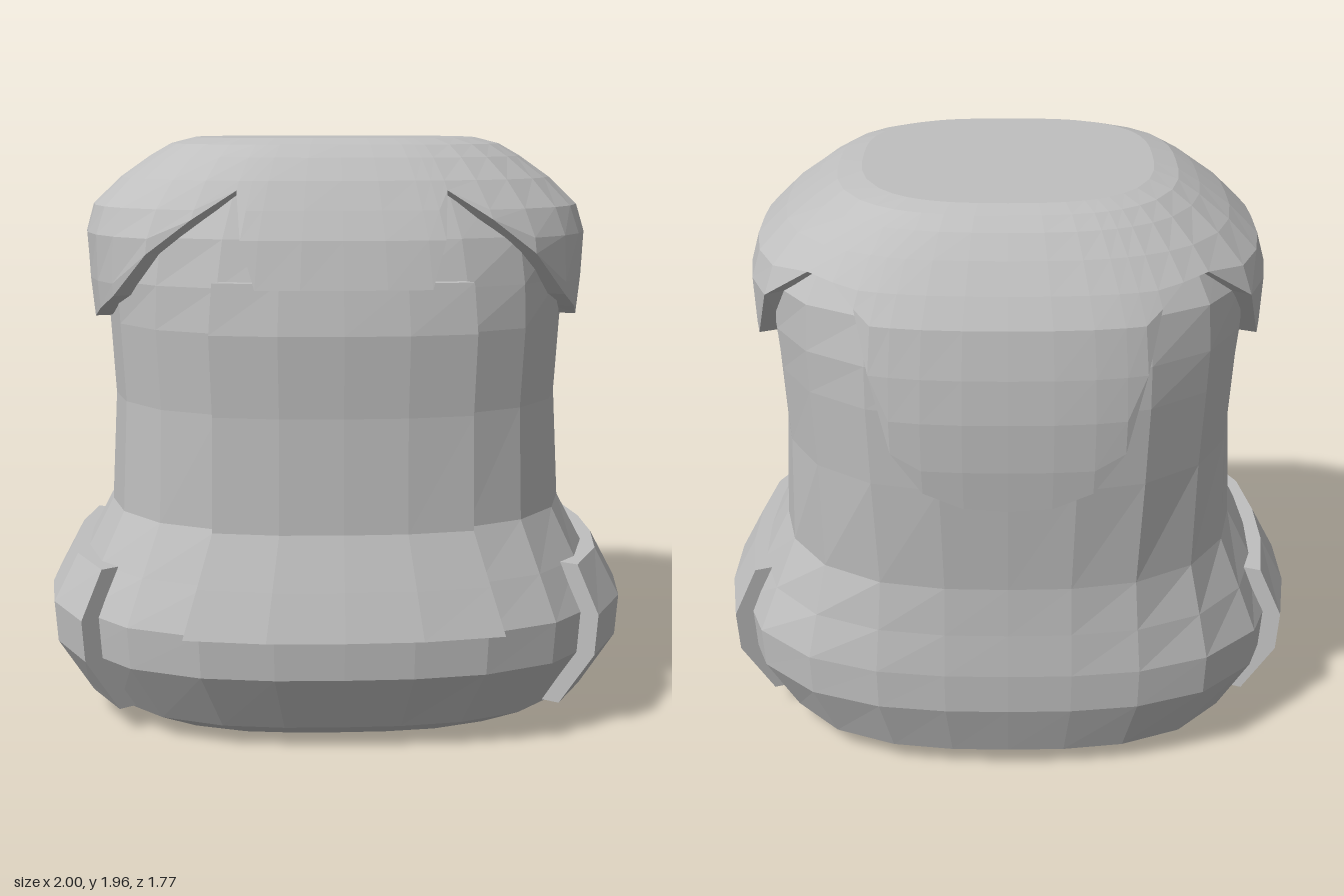
import * as THREE from 'three';

const grey = new THREE.MeshStandardMaterial({ color: 0xbfbfbf });
grey.name = 'plainGrey';

const rad = THREE.MathUtils.degToRad;

// Cross-sections: [height, half width, front depth, back depth]
const BODY = [
  [0, 0.70, 0.57, 0.59], [0.07, 0.82, 0.71, 0.71], [0.27, 0.94, 0.83, 0.78],
  [0.41, 0.95, 0.84, 0.785], [0.56, 0.87, 0.79, 0.775], [0.73, 0.78, 0.73, 0.77],
  [1.10, 0.76, 0.725, 0.81], [1.36, 0.775, 0.74, 0.825], [1.50, 0.79, 0.72, 0.82],
  [1.65, 0.80, 0.68, 0.79], [1.80, 0.72, 0.61, 0.71],
];
const COVER = [
  [1.06, 0.80, 0.76, 0.865], [1.20, 0.81, 0.77, 0.88], [1.36, 0.825, 0.775, 0.885],
  [1.50, 0.84, 0.77, 0.875], [1.65, 0.85, 0.735, 0.85], [1.74, 0.825, 0.69, 0.80],
  [1.83, 0.73, 0.64, 0.74], [1.90, 0.63, 0.585, 0.685], [1.94, 0.56, 0.54, 0.64],
  [1.96, 0.48, 0.48, 0.58],
];
// Lower edge of the cover: [angle from the front, height]
const EDGE = [
  [0, 1.5], [10, 1.5], [20, 1.5], [24, 1.65], [27.5, 1.8], [36, 1.71], [45, 1.6],
  [55, 1.46], [63, 1.41], [72, 1.37], [81, 1.36], [90, 1.36], [102, 1.40], [114, 1.46],
  [125, 1.65], [136, 1.76], [143, 1.75], [149, 1.69], [153, 1.5], [157, 1.25],
  [163, 1.12], [171, 1.07], [180, 1.06],
];

function section(profile, y) {
  let i = 0;
  while (i < profile.length - 2 && profile[i + 1][0] < y) i++;
  const [p, q] = [profile[i], profile[i + 1]];
  const t = THREE.MathUtils.clamp((y - p[0]) / (q[0] - p[0]), 0, 1);
  return p.map((v, k) => v + (q[k] - v) * t);
}

// Point on a rounded-square section; angle 0 is the front, 90 the left
function surfacePoint(profile, angle, y, offset = 0, scale = 1) {
  const [, a, front, back] = section(profile, y);
  const s = Math.sin(rad(angle)), c = Math.cos(rad(angle)), n = 2.8;
  const r = (Math.abs(s / a) ** n + Math.abs(c / (c > 0 ? front : back)) ** n) ** (-1 / n);
  const d = (r + offset) * scale;
  return new THREE.Vector3(d * s, y, d * c);
}

// Faceted sheet from a grid of points; collapsed triangles are dropped
function sheet(name, cols, rows, pointAt) {
  const pos = [];
  const tri = (a, b, c) => {
    const area = b.clone().sub(a).cross(c.clone().sub(a)).length();
    if (area > 1e-7) pos.push(...a.toArray(), ...b.toArray(), ...c.toArray());
  };
  for (let i = 0; i < cols - 1; i++) {
    for (let j = 0; j < rows - 1; j++) {
      const a = pointAt(i, j), b = pointAt(i + 1, j);
      const c = pointAt(i + 1, j + 1), d = pointAt(i, j + 1);
      tri(a, b, c);
      tri(a, c, d);
    }
  }
  const geo = new THREE.BufferGeometry();
  geo.setAttribute('position', new THREE.Float32BufferAttribute(pos, 3));
  geo.computeVertexNormals();
  const mesh = new THREE.Mesh(geo, grey);
  mesh.name = name;
  return mesh;
}

// Raised plate that follows the body, with walls all round
function plate(name, ys, range, columns, thickness) {
  const rows = [ys[0], ...ys, ys[ys.length - 1]];
  return sheet(name, columns + 3, rows.length, (i, j) => {
    const y = rows[j], [from, to] = range(y);
    const t = THREE.MathUtils.clamp((i - 1) / columns, 0, 1);
    const rim = i === 0 || i === columns + 2 || j === 0 || j === rows.length - 1;
    return surfacePoint(BODY, from + (to - from) * t, y, rim ? -0.03 : thickness);
  });
}

export function createModel() {
  const model = new THREE.Group();
  model.name = 'coveredContainer';

  // Waisted body, closed at the bottom and top
  const bodyRows = [[0, 0], ...BODY.map((p) => [p[0], 1]), [1.8, 0]];
  model.add(sheet('body', 25, bodyRows.length, (i, j) =>
    surfacePoint(BODY, i * 15, bodyRows[j][0], 0, bodyRows[j][1])));

  // Scalloped cover: inner lip, outer skin, flat top
  const edge = [...EDGE.slice(1).reverse().map(([a, y]) => [-a, y]), ...EDGE];
  const heights = COVER.map((p) => p[0]);
  model.add(sheet('cover', edge.length, heights.length + 2, (i, j) => {
    const [angle, low] = edge[i];
    if (j === 0) return surfacePoint(COVER, angle, low, -0.09);
    if (j > heights.length) return surfacePoint(COVER, angle, 1.96, 0, 0);
    return surfacePoint(COVER, angle, Math.max(low, heights[j - 1]));
  }));

  // Front panel, flared at the foot
  const panelHalf = (y) => (y < 0.73 ? 29.5 + (0.73 - y) * 6 : 29.5);
  model.add(plate('frontPanel', [0.41, 0.56, 0.73, 1.1, 1.36, 1.52],
    (y) => [-panelHalf(y), panelHalf(y)], 4, 0.05));

  // Side panels around the base
  const sideHeights = [0.08, 0.11, 0.27, 0.41, 0.57];
  model.add(plate('leftBasePanel', sideHeights, () => [54, 112], 4, 0.05));
  model.add(plate('rightBasePanel', sideHeights, () => [-112, -54], 4, 0.05));

  return model;
}
